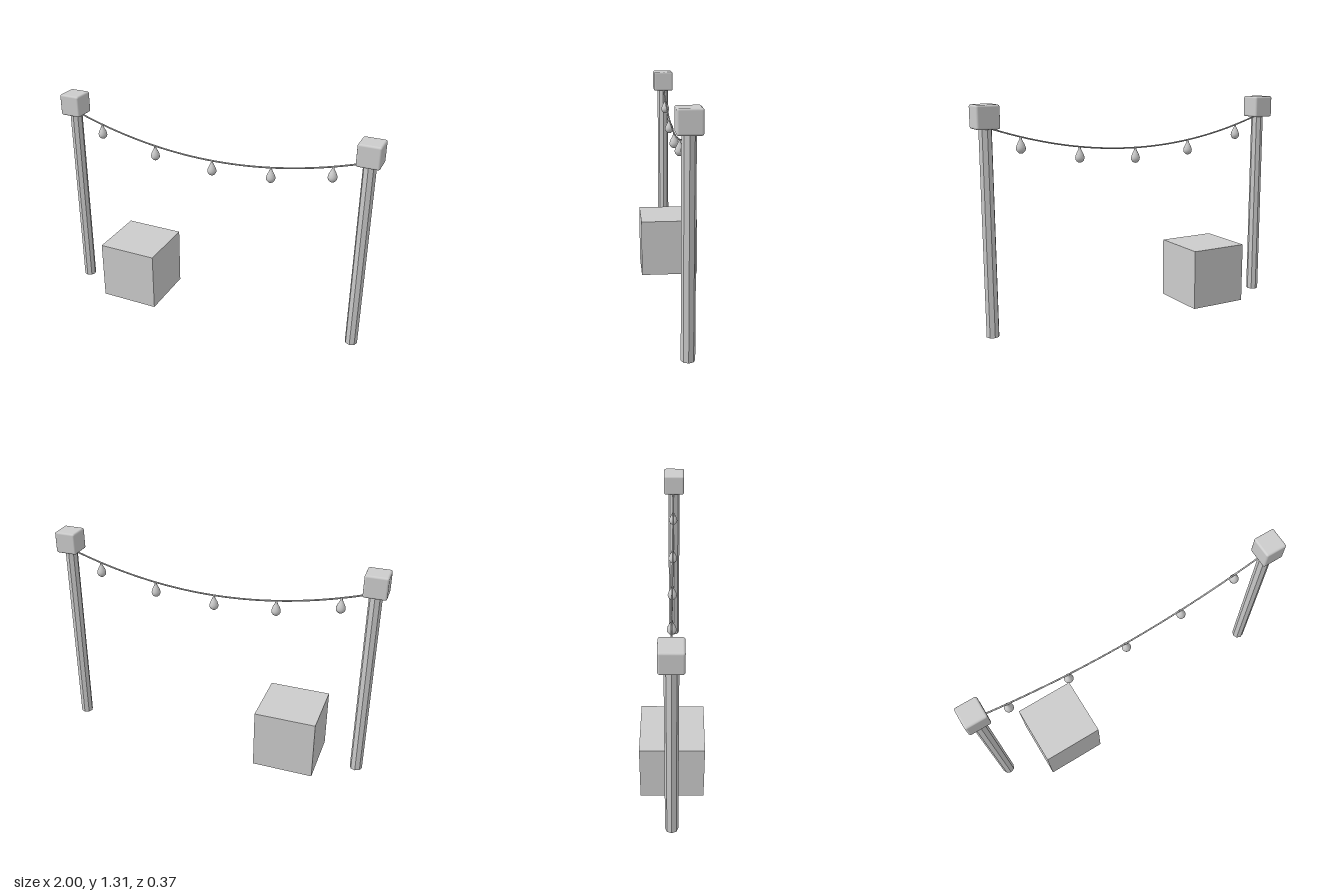
import * as THREE from 'three';
import { RoundedBoxGeometry } from 'three/addons/geometries/RoundedBoxGeometry.js';

const grey = new THREE.MeshStandardMaterial({ color: 0xcccccc });
const faceted = new THREE.MeshStandardMaterial({ color: 0xcccccc, flatShading: true });

export function createModel() {
  const group = new THREE.Group();
  const add = (name, geometry, material, x, y, z = 0) => {
    const mesh = new THREE.Mesh(geometry, material);
    mesh.name = name;
    mesh.position.set(x, y, z);
    group.add(mesh);
    return mesh;
  };

  // Two octagonal posts with rounded block caps
  const postGeometry = new THREE.CylinderGeometry(0.0375, 0.0375, 1.18, 8);
  const capGeometry = new RoundedBoxGeometry(0.132, 0.132, 0.132, 3, 0.012);
  for (const [side, sign] of [['left', 1], ['right', -1]]) {
    add(side + 'Post', postGeometry, faceted, sign * 0.933, 0.59);
    add(side + 'Cap', capGeometry, grey, sign * 0.934, 1.241);
  }

  // Crate standing beside the right post
  add('crate', new THREE.BoxGeometry(0.371, 0.372, 0.371), grey, -0.51, 0.186);

  // Cable sagging between the posts
  const ropeZ = -0.004;
  const ropeY = (x) => 1.022 + 0.188 * x * x;
  const cable = new THREE.QuadraticBezierCurve3(
    new THREE.Vector3(-0.92, ropeY(0.92), ropeZ),
    new THREE.Vector3(0, 2 * 1.022 - ropeY(0.92), ropeZ),
    new THREE.Vector3(0.92, ropeY(0.92), ropeZ)
  );
  add('cable', new THREE.TubeGeometry(cable, 40, 0.005, 6), grey, 0, 0);

  // Teardrop bulbs hanging from the cable
  const profile = new THREE.SplineCurve([
    [0, -0.093], [0.012, -0.09], [0.023, -0.079], [0.027, -0.064],
    [0.022, -0.044], [0.012, -0.024], [0.007, -0.012], [0.006, 0],
  ].map(([r, y]) => new THREE.Vector2(r, y)));
  const points = profile.getPoints(16);
  points[0].x = 0;
  const bulbGeometry = new THREE.LatheGeometry(points, 16);
  [-0.75, -0.38, 0, 0.372, 0.733].forEach((x, i) => {
    add('bulb' + (i + 1), bulbGeometry, grey, x, ropeY(x), ropeZ);
  });

  return group;
}
